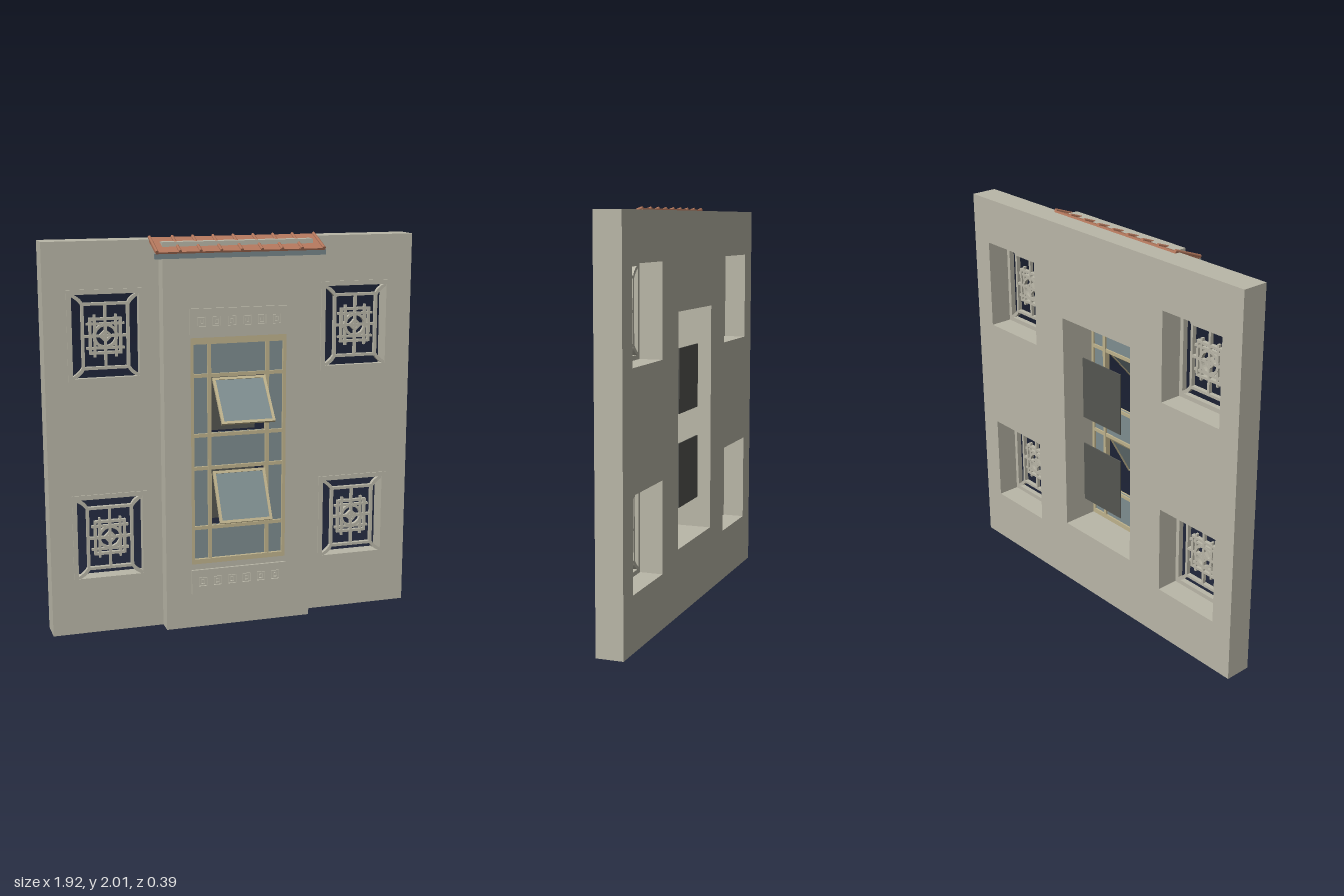
import * as THREE from 'three';

const mat = (name, color) => Object.assign(new THREE.MeshStandardMaterial({ color }), { name });

export function createModel() {
  const plaster = mat('plaster', 0xbab7a8);
  const glass = mat('glass', 0x7f8e90);
  const tan = mat('tan frame', 0xbfb38d);
  const dark = mat('dark blind', 0x555651);
  const clay = mat('terracotta', 0xb3775c);
  const gutterGrey = mat('gutter grey', 0x76868a);

  const model = new THREE.Group();

  const add = (parent, name, geo, material, x = 0, y = 0, z = 0) => {
    const m = new THREE.Mesh(geo, material);
    m.name = name;
    m.position.set(x, y, z);
    parent.add(m);
    return m;
  };
  const box = (parent, name, material, w, h, d, x, y, z) =>
    add(parent, name, new THREE.BoxGeometry(w, h, d), material, x, y, z);
  const group = (name, x = 0, y = 0, z = 0, parent = model) => {
    const g = new THREE.Group();
    g.name = name;
    g.position.set(x, y, z);
    parent.add(g);
    return g;
  };
  // rectangle outline, given by centre and size
  const rect = (Type, cx, cy, w, h) => new Type([
    [-1, -1], [1, -1], [1, 1], [-1, 1],
  ].map(([sx, sy]) => new THREE.Vector2(cx + sx * w / 2, cy + sy * h / 2)));
  // slab with rectangular holes, back face on z = 0
  const slab = (cx, cy, w, h, depth, holes = []) => {
    const s = rect(THREE.Shape, cx, cy, w, h);
    s.holes = holes.map((r) => rect(THREE.Path, ...r));
    return new THREE.ExtrudeGeometry(s, { depth, bevelEnabled: false });
  };
  const ring = (w, h, t, depth) => slab(0, 0, w, h, depth, [[0, 0, w - 2 * t, h - 2 * t]]);

  // Wall and projecting centre bay, pierced for the windows
  const windowHole = [0, 0.925, 0.5, 1.17];
  const grilleCentres = [];
  for (const x of [-0.655, 0.655]) for (const y of [0.5, 1.528]) grilleCentres.push([x, y]);
  const grilleHoles = grilleCentres.map(([x, y]) => [x, y, 0.376, 0.456]);
  add(model, 'wall', slab(0, 0.995, 1.92, 1.99, 0.135, [windowHole, ...grilleHoles]), plaster, 0, 0, -0.197);
  add(model, 'centreBay', slab(0, 0.991, 0.772, 1.982, 0.082, [windowHole]), plaster, 0, 0, -0.062);

  // Lattice grilles
  const cornerShape = new THREE.Shape();
  cornerShape.moveTo(0.108, 0.162);
  cornerShape.quadraticCurveTo(0.122, 0.196, 0.17, 0.212);
  cornerShape.lineTo(0.176, 0.2);
  cornerShape.quadraticCurveTo(0.138, 0.182, 0.12, 0.152);
  const cornerGeo = new THREE.ExtrudeGeometry(cornerShape, { depth: 0.022, bevelEnabled: false, curveSegments: 6 });
  const circle = new THREE.Shape().absarc(0, 0, 0.062, 0, Math.PI * 2, false);
  circle.holes.push(new THREE.Path().absarc(0, 0, 0.048, 0, Math.PI * 2, true));
  const circleGeo = new THREE.ExtrudeGeometry(circle, { depth: 0.02, bevelEnabled: false, curveSegments: 16 });

  for (const [x, y] of grilleCentres) {
    const g = group('grille', x, y, -0.083);
    add(g, 'outerFrame', ring(0.382, 0.46, 0.024, 0.027), plaster);
    add(g, 'middleFrame', ring(0.24, 0.33, 0.014, 0.022), plaster);
    add(g, 'innerFrame', ring(0.164, 0.18, 0.013, 0.02), plaster);
    add(g, 'latticeCircle', circleGeo, plaster);
    add(g, 'centreSquare', ring(0.05, 0.05, 0.011, 0.02), plaster).rotation.z = Math.PI / 4;
    box(g, 'verticalBar', plaster, 0.013, 0.32, 0.018, 0, 0, 0.01);
    box(g, 'horizontalBar', plaster, 0.23, 0.013, 0.018, 0, 0, 0.01);
    for (const s of [-1, 1]) {
      box(g, 'sideBar', plaster, 0.012, 0.21, 0.016, s * 0.053, 0, 0.01);
      box(g, 'crossBar', plaster, 0.19, 0.012, 0.016, 0, s * 0.06, 0.01);
    }
    // corner braces: half turns give the opposite corners
    for (const flip of [0, Math.PI]) for (const turn of [0, Math.PI]) {
      const c = add(g, 'cornerBrace', cornerGeo, plaster, 0, 0, flip ? 0.022 : 0);
      c.rotation.set(0, flip, turn);
    }
  }

  // Relief panels with six small square rosettes
  const rosetteX = [-0.195, -0.117, -0.039, 0.039, 0.117, 0.195];
  for (const y of [0.247, 1.592]) {
    const p = group('reliefPanel', 0, y, 0.015);
    add(p, 'panel', slab(0, 0, 0.508, 0.128, 0.017,
      rosetteX.map((x) => [x, 0, 0.044, 0.048])), plaster);
    for (const x of rosetteX) {
      add(p, 'rosetteRing', ring(0.038, 0.042, 0.009, 0.016), plaster, x, 0, 0);
      box(p, 'rosetteCentre', plaster, 0.012, 0.014, 0.014, x, 0, 0.007);
    }
  }

  // Tall window: frame, bars and fixed glass with two openings
  const win = group('window');
  add(win, 'windowFrame', slab(...windowHole, 0.032, [[0, 0.921, 0.468, 1.112]]), tan, 0, 0, -0.012);
  add(win, 'fixedGlass', slab(0, 0.921, 0.47, 1.114, 0.006,
    [[0, 1.166, 0.29, 0.286], [0, 0.687, 0.29, 0.294]]), glass, 0, 0, -0.003);
  for (const x of [-0.152, 0.152]) box(win, 'mullion', tan, 0.018, 1.12, 0.03, x, 0.921, 0.002);
  for (const y of [0.53, 0.843, 1.013, 1.318]) box(win, 'transom', tan, 0.47, 0.018, 0.026, 0, y, 0.002);

  // Top-hung open sashes and the blinds behind them
  for (const [y, out, drop, blindY] of [[1.303, 0.172, 0.2, 1.16], [0.823, 0.132, 0.238, 0.687]]) {
    const len = Math.hypot(out, drop);
    const sash = group('openSash', 0, y, 0.015, win);
    sash.rotation.x = -Math.atan2(out, drop);
    add(sash, 'sashFrame', ring(0.276, len, 0.014, 0.014), tan, 0, -len / 2, -0.007);
    box(sash, 'sashGlass', glass, 0.25, len - 0.026, 0.007, 0, -len / 2, 0);
    box(win, 'blind', dark, 0.28, 0.325, 0.006, 0, blindY, -0.16);
  }

  // Sloping tiled canopy; the bay's top edge shows through it
  const canopy = group('canopy', 0, 1.967, -0.005);
  canopy.rotation.x = Math.atan2(0.06, 0.16);
  const slopeLen = 0.172;
  box(canopy, 'canopyDeck', clay, 0.862, 0.012, slopeLen, 0, -0.004, 0);
  for (let i = -4; i <= 4; i++) {
    const edge = Math.abs(i) === 4;
    const rib = add(canopy, 'tileRib', new THREE.CylinderGeometry(0.008, 0.008, slopeLen, 8), clay,
      edge ? Math.sign(i) * 0.425 : i * 0.1035, 0.004, 0);
    rib.rotation.x = Math.PI / 2;
  }
  box(model, 'gutter', gutterGrey, 0.872, 0.026, 0.018, 0, 1.919, 0.064);

  return model;
}
